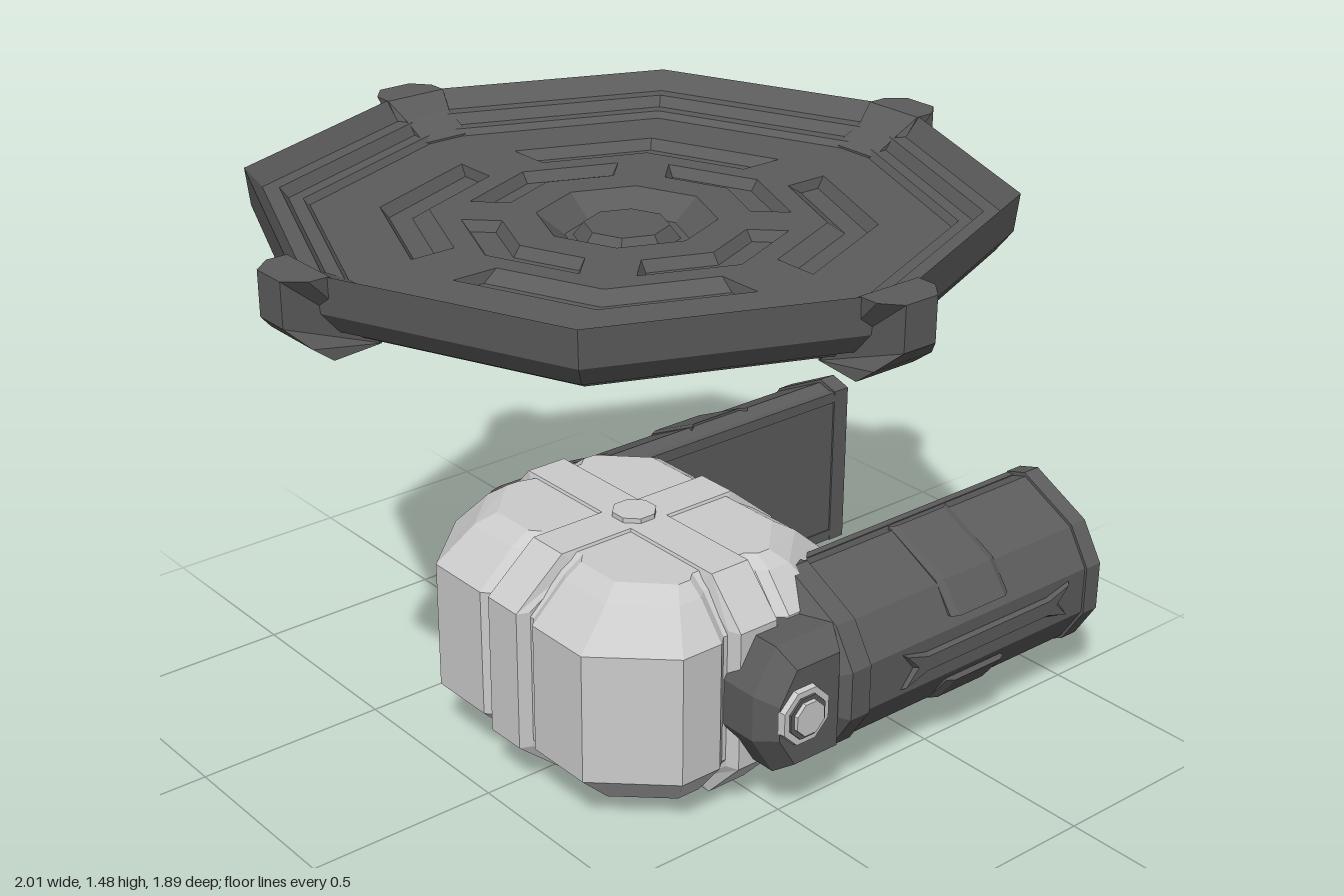
import * as THREE from 'three';

const light = new THREE.MeshStandardMaterial({ color: 0xcccccc, flatShading: true, side: THREE.DoubleSide });
const dark = new THREE.MeshStandardMaterial({ color: 0x5c5c5c, flatShading: true, side: THREE.DoubleSide });
const CX = -0.06; // disc axis

function mesh(name, geo, mat, parent) {
  const g = geo.index ? geo.toNonIndexed() : geo;
  g.computeVertexNormals();
  const m = new THREE.Mesh(g, mat);
  m.name = name;
  parent.add(m);
  return m;
}

// Skin over equal-length rings of [x, y, z]; ends closed by fans from each ring's first point
function loft(rings, capStart = true) {
  const n = rings[0].length, idx = [];
  for (let r = 0; r < rings.length - 1; r++)
    for (let i = 0; i < n; i++) {
      const a = r * n + i, b = r * n + (i + 1) % n;
      idx.push(a, b, b + n, a, b + n, a + n);
    }
  const e = (rings.length - 1) * n;
  for (let i = 1; i < n - 1; i++) {
    if (capStart) idx.push(0, i + 1, i);
    idx.push(e, e + i, e + i + 1);
  }
  const g = new THREE.BufferGeometry();
  g.setAttribute('position', new THREE.Float32BufferAttribute(rings.flat(2), 3));
  g.setIndex(idx);
  return g;
}

const corner = (k, r) => [r * Math.cos(k * Math.PI / 4), r * Math.sin(k * Math.PI / 4)];
const octagon = r => Array.from({ length: 8 }, (_, k) => corner(k, r));

// V-shaped outline along two octagon edges meeting at corner k, ending `gap` short of the next spokes
function chevron(k, rIn, rOut, gap) {
  const p = (r, side) => {
    const a = corner(k, r), b = corner(k + side, r), t = 1 - gap * Math.SQRT2 / r;
    return [a[0] + (b[0] - a[0]) * t, a[1] + (b[1] - a[1]) * t];
  };
  return [corner(k, rIn), p(rIn, -1), p(rOut, -1), corner(k, rOut), p(rOut, 1), p(rIn, 1)];
}

function flat(outline, holes, y) {
  const v = pts => pts.map(p => new THREE.Vector2(p[0], p[1]));
  const s = new THREE.Shape(v(outline));
  holes.forEach(h => s.holes.push(new THREE.Path(v(h))));
  return new THREE.ShapeGeometry(s).rotateX(Math.PI / 2).translate(0, y, 0);
}
const atY = (pts, y) => pts.map(p => [p[0], y, p[1]]);
const ring8 = pts => new THREE.LatheGeometry(pts.map(p => new THREE.Vector2(...p)), 8);

function makeDisc() {
  const disc = new THREE.Group();
  disc.name = 'disc';
  // stepped rim and high upper floor with sunken channels
  mesh('upperRim', ring8([[.89, 1.475], [.85, 1.43], [.81, 1.43], [.79, 1.405], [.755, 1.405], [.74, 1.39]]), dark, disc);
  const outer = [1, 3, 5, 7].map(k => chevron(k, .46, .575, .08));
  const inner = [0, 2, 4, 6].map(k => chevron(k, .305, .40, .062));
  mesh('upperFloor', flat(octagon(.74), [octagon(.21), ...outer, ...inner], 1.39), dark, disc);
  outer.forEach((c, i) => mesh('outerChannel', loft([atY(c, 1.39), atY(chevron(2 * i + 1, .50, .555, .085), 1.365)], false), dark, disc));
  inner.forEach((c, i) => mesh('innerChannel', loft([atY(c, 1.39), atY(chevron(2 * i, .33, .375, .078), 1.355)], false), dark, disc));
  mesh('centrePit', ring8([[.21, 1.39], [.145, 1.34], [.125, 1.34], [.10, 1.372], [0, 1.372]]), dark, disc);

  // underside: outer wall, recessed middle, hub and four stepped ring sectors
  mesh('underside', ring8([[.89, 1.475], [.88, 1.385], [.84, 1.335], [.80, 1.325], [.79, 1.31], [.42, 1.31],
    [.39, 1.365], [.21, 1.365], [.145, 1.325], [.125, 1.325], [.10, 1.345], [0, 1.345]]), dark, disc);
  for (const k of [1, 3, 5, 7]) {
    mesh('ringSector', loft([atY(chevron(k, .42, .72, .065), 1.31), atY(chevron(k, .42, .70, .065), 1.287)], false), dark, disc);
    mesh('sectorPlate', loft([atY(chevron(k, .42, .58, .067), 1.287), atY(chevron(k, .43, .55, .072), 1.255)], false), dark, disc);
  }
  for (const k of [0, 2, 4, 6])
    mesh('lowerChevron', loft([atY(chevron(k, .295, .385, .06), 1.365), atY(chevron(k, .32, .365, .075), 1.335)], false), dark, disc);

  // four clamps over the rim: side profile as [radius, y], narrowed at the tip
  const profile = [[.72, 1.287], [.85, 1.287], [.90, 1.325], [.945, 1.37], [.945, 1.475], [.90, 1.475], [.85, 1.475], [.80, 1.435], [.72, 1.395]];
  const width = r => r > .93 ? .045 : r > .84 ? .083 : .066;
  for (let i = 0; i < 4; i++) {
    const sides = [1, -1].map(s => profile.map(([r, y]) => [r, y, s * width(r)]));
    mesh('rimClamp', loft(sides), dark, disc).rotation.y = i * Math.PI / 2;
  }
  disc.position.x = CX;
  return disc;
}

function makeBody() {
  const body = new THREE.Group();
  body.name = 'body';
  // [y, half x, half z, corner x, corner z]
  const levels = [
    [.025, .245, .335, .14, .23], [.055, .295, .375, .17, .26], [.15, .392, .45, .22, .29],
    [.49, .392, .45, .22, .29], [.58, .295, .375, .17, .26], [.61, .245, .335, .14, .23]];
  // plan outline with a shallow groove in the middle of each side
  const groove = [[-.105, 0], [-.08, .022], [.08, .022], [.105, 0]];
  const plan = ([y, x, z, cx, cz]) => {
    const half = [[x, -cz], ...groove.map(([t, d]) => [x - d, t]), [x, cz],
      [cx, z], ...groove.map(([t, d]) => [-t, z - d]), [-cx, z]];
    return [...half, ...half.map(p => [-p[0], -p[1]])].map(p => [p[0], y, p[1]]);
  };
  mesh('shell', loft(levels.map(plan)), light, body);

  // raised ribs running round the shell both ways
  function rib(top, side, turn) {
    const cut = (w, lift) => {
      const hy = .29 + lift, a = top + lift, b = side + lift;
      const half = [[a, hy], [b, .185], [b, -.185], [a, -hy]];
      return [...half, ...half.map(([x, y]) => [-x, -y])].map(([x, y]) => [x, y + .3175, w]);
    };
    mesh('rib', loft([cut(-.068, -.022), cut(-.056, .01), cut(.056, .01), cut(.068, -.022)]), light, body).rotation.y = turn;
  }
  rib(.255, .393, 0);
  rib(.345, .452, Math.PI / 2);
  const cap = new THREE.CylinderGeometry(.056, .056, .63, 8).rotateY(Math.PI / 8).translate(0, .315, 0);
  mesh('poleCaps', cap, light, body);
  body.position.x = -.04;
  return body;
}

function makeArm() {
  const arm = new THREE.Group();
  arm.name = 'arm';
  const CY = .315;
  // cross-section as [z, y offset]
  const upper = [[.325, .232], [.385, .25], [.553, .165], [.615, .065]];
  const section = [...upper, ...upper.map(([z, y]) => [z, -y]).reverse()];
  const cut = (x, s) => section.map(([z, y]) => [x, CY + y * s, .45 + (z - .45) * s]);
  mesh('armBeam', loft([cut(.16, .96), cut(.96, .96)]), dark, arm);
  mesh('frontCollar', loft([cut(.08, .68), cut(.081, .72), cut(.13, 1), cut(.19, 1)]), dark, arm);
  mesh('endFlange', loft([cut(.95, 1), cut(1, 1)]), dark, arm);

  // long rails framing the inner face, and raised pads on the outer slopes
  const pad = [[.385, .247], [.553, .166], [.61, .09], [.54, .09], [.385, .18]];
  for (const s of [1, -1]) {
    const rail = new THREE.BoxGeometry(.78, .03, .02).translate(.57, CY + s * .215, .336);
    mesh('innerRail', rail, dark, arm);
    mesh('slopePad', loft([[.47, -.006], [.49, .006], [.65, .006], [.67, -.006]].map(([x, o]) =>
      pad.map(([z, y]) => [x, CY + s * y, z + o - .004]))), dark, arm);
  }

  // double-ended swallowtail bar on the outer face
  const tail = [[.35, 0], [.31, .042], [.38, .02]];
  const top = [...tail, ...tail.map(([x, y]) => [1.19 - x, y]).reverse()];
  const outline = [...top, ...top.slice(1, -1).map(([x, y]) => [x, -y]).reverse()];
  const shape = new THREE.Shape(outline.map(p => new THREE.Vector2(p[0], p[1] + CY)));
  mesh('swallowtailBar', new THREE.ExtrudeGeometry(shape, { depth: .015, bevelThickness: .01, bevelSize: .008, bevelSegments: 1 })
    .translate(0, 0, .594), dark, arm);

  // pivot housing with its bolt
  const hub = [[.13, .17], [-.05, .17], [-.117, .06], [-.117, -.06], [-.05, -.17], [.13, -.17]];
  const hubCut = (z, s) => hub.map(([x, y]) => [.01 + (x - .01) * s, CY + y * s, z]);
  mesh('pivotHousing', loft([hubCut(.33, 1), hubCut(.54, 1), hubCut(.60, .75)]), dark, arm);
  const bolt = (name, r, z, mat) => mesh(name, new THREE.CylinderGeometry(r * .88, r, .06, 8)
    .rotateY(Math.PI / 8).rotateX(Math.PI / 2).translate(-.015, CY + .005, z - .03), mat, arm);
  bolt('boltCollar', .085, .615, light);
  bolt('boltRing', .066, .62, dark);
  bolt('boltHead', .052, .63, light);
  return arm;
}

export function createModel() {
  const model = new THREE.Group();
  model.name = 'model';
  model.add(makeDisc(), makeBody());
  for (const s of [1, -1]) {
    const arm = makeArm();
    arm.name = s > 0 ? 'frontArm' : 'backArm';
    arm.scale.z = s;
    arm.position.z = -.01;
    model.add(arm);
  }
  return model;
}
